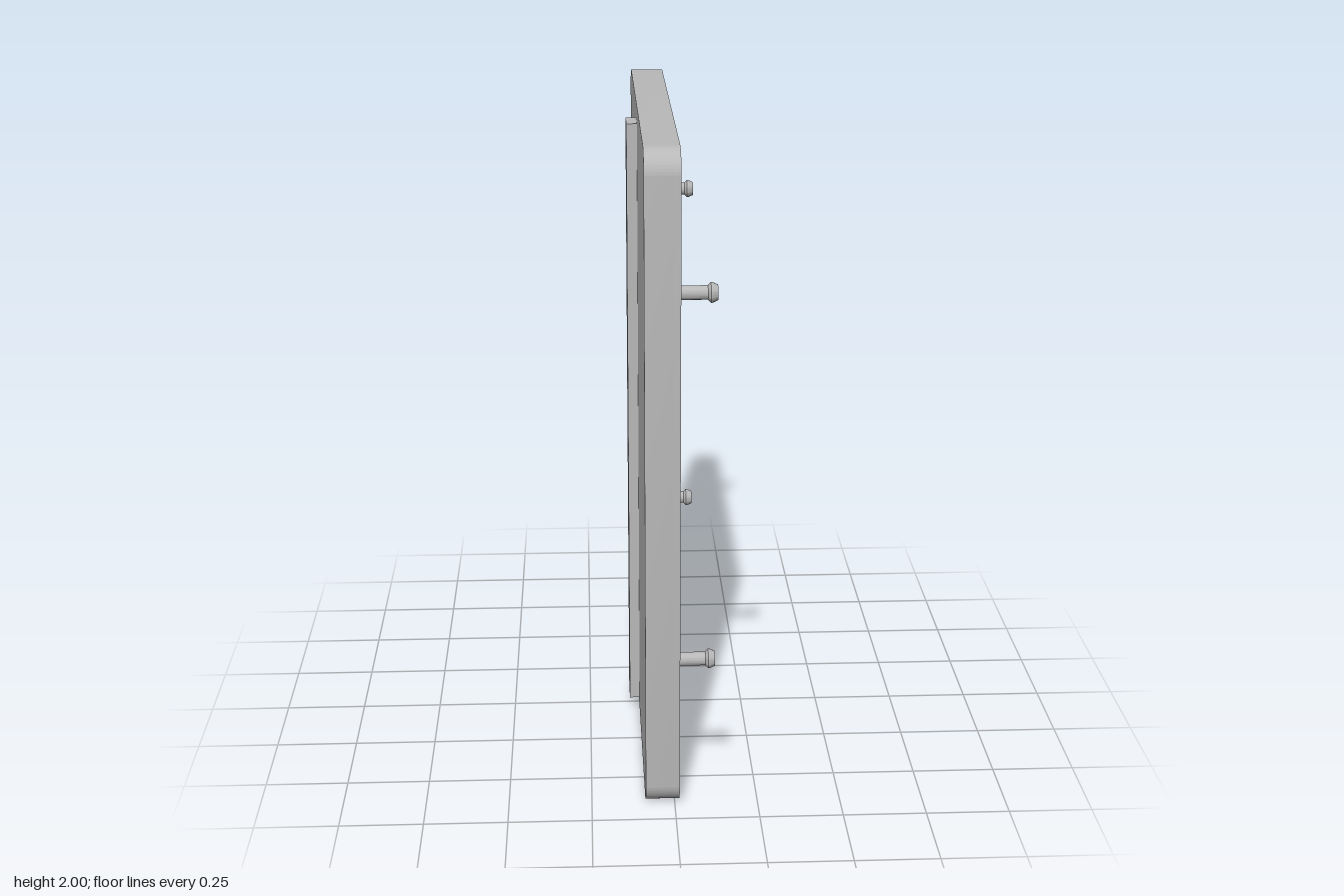
import * as THREE from 'three';
import { toCreasedNormals } from 'three/addons/utils/BufferGeometryUtils.js';

const FRONT_X = 0.014, BACK_X = -0.088, RECESS = 0.02;

// Rounded rectangle, centred on x, between two heights
function roundedRect(path, halfWidth, y0, y1, r) {
  const w = halfWidth;
  path.moveTo(-w + r, y0);
  path.lineTo(w - r, y0);
  path.absarc(w - r, y0 + r, r, -Math.PI / 2, 0);
  path.absarc(w - r, y1 - r, r, 0, Math.PI / 2);
  path.absarc(-w + r, y1 - r, r, Math.PI / 2, Math.PI);
  path.absarc(-w + r, y0 + r, r, Math.PI, Math.PI * 1.5);
  return path;
}

// Extrude a door outline along +x, from x0 to x1
function slab(shape, x0, x1) {
  const g = new THREE.ExtrudeGeometry(shape, { depth: x1 - x0, bevelEnabled: false, curveSegments: 12 });
  g.rotateY(Math.PI / 2);
  g.translate(x0, 0, 0);
  return toCreasedNormals(g, 0.6);
}

export function createModel() {
  const model = new THREE.Group();
  model.name = 'panel';
  const grey = new THREE.MeshStandardMaterial({ color: 0xb8b8b8 });
  grey.name = 'grey';

  const add = (name, geometry) => {
    const mesh = new THREE.Mesh(geometry, grey);
    mesh.name = name;
    model.add(mesh);
    return mesh;
  };

  // Solid back of the panel
  const outline = () => roundedRect(new THREE.Shape(), 0.685, 0, 2, 0.075);
  add('panelBody', slab(outline(), BACK_X, FRONT_X - RECESS));

  // Raised rim around the shallow recess
  const rim = outline();
  rim.holes.push(roundedRect(new THREE.Path(), 0.598, 0.095, 1.97, 0.075));
  add('rim', slab(rim, FRONT_X - RECESS, FRONT_X));

  // Vertical rib on the back
  const rib = new THREE.BoxGeometry(0.032, 1.91, 0.098);
  add('backRib', rib).position.set(BACK_X - 0.016, 0.995, 0);

  // Pegs with flared heads, turned around the x axis
  const profile = [[0.02, 0], [0.02, 0.076], [0.029, 0.084], [0.029, 0.088], [0.022, 0.104], [0, 0.104]]
    .map(([r, h]) => new THREE.Vector2(r, h));
  const peg = toCreasedNormals(new THREE.LatheGeometry(profile, 24), 0.35);
  peg.rotateZ(-Math.PI / 2);
  for (const y of [0.473, 1.594]) {
    for (const z of [-0.64, 0.64]) add('peg', peg).position.set(FRONT_X, y, z);
  }

  return model;
}
